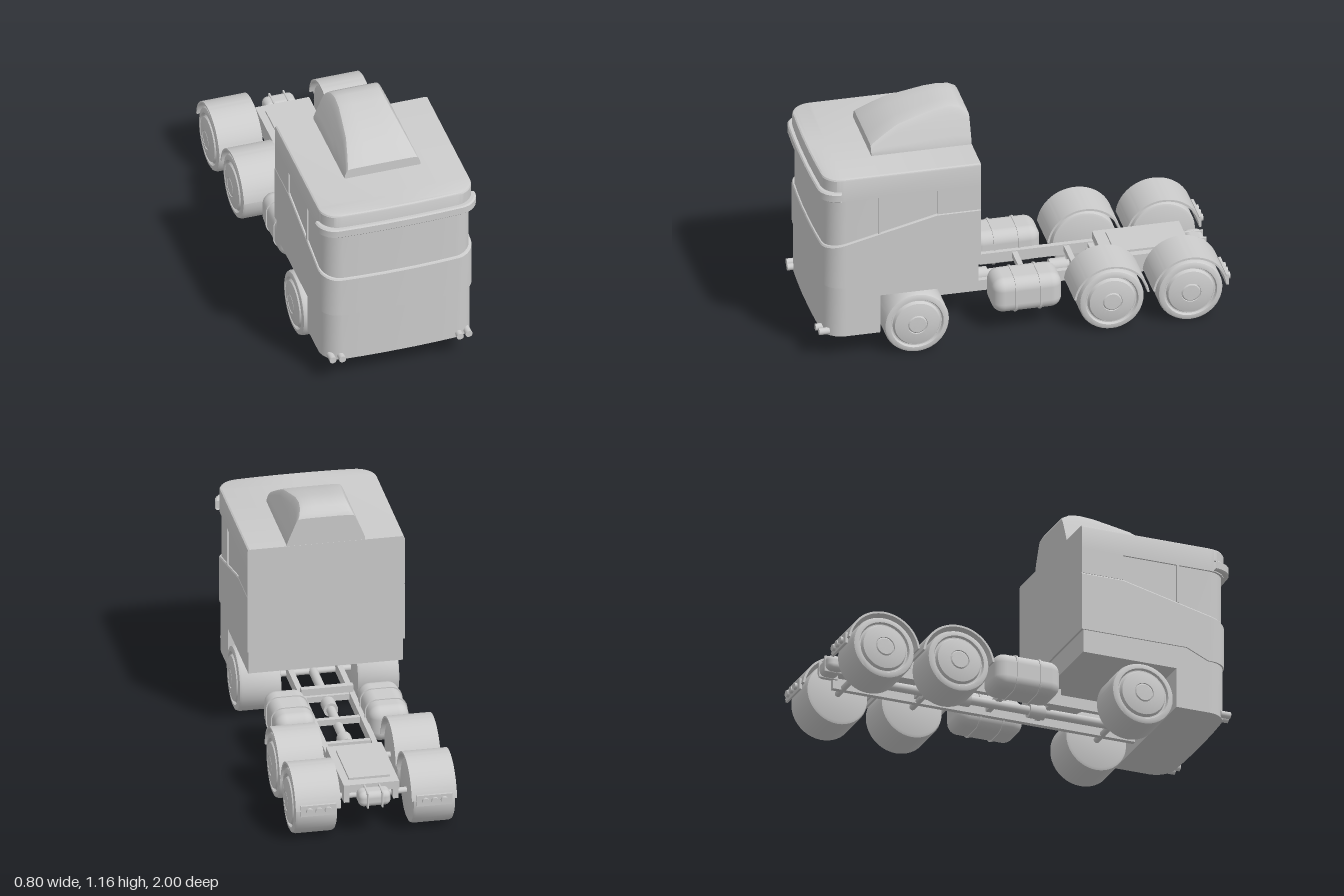
import * as THREE from 'three';
import { toCreasedNormals } from 'three/addons/utils/BufferGeometryUtils.js';
import { RoundedBoxGeometry } from 'three/addons/geometries/RoundedBoxGeometry.js';

const mat = new THREE.MeshStandardMaterial({ color: 0xcccccc });
const { clamp, lerp, mapLinear } = THREE.MathUtils;

function add(parent, name, geo, x = 0, y = 0, z = 0) {
  const m = new THREE.Mesh(geo, mat);
  m.name = name;
  m.position.set(x, y, z);
  parent.add(m);
  return m;
}
const box = (w, h, d) => new THREE.BoxGeometry(w, h, d);
const rodX = (r, len, n = 20) => new THREE.CylinderGeometry(r, r, len, n).rotateZ(Math.PI / 2);
const rodZ = (r, len, n = 20) => new THREE.CylinderGeometry(r, r, len, n).rotateX(Math.PI / 2);

// Skin a row of closed rings, keeping hard edges sharp
function loft(rings) {
  const n = rings[0].length, index = [];
  for (let j = 0; j < rings.length - 1; j++) {
    for (let i = 0; i < n; i++) {
      const a = j * n + i, b = j * n + (i + 1) % n;
      index.push(a, a + n, b, b, a + n, b + n);
    }
  }
  const geo = new THREE.BufferGeometry();
  geo.setAttribute('position', new THREE.Float32BufferAttribute(rings.flat(2), 3));
  geo.setIndex(index);
  return toCreasedNormals(geo, 0.5);
}

// Cab plan: square at the back, rounded corners and a slight bow at the front.
// stops are [z, inset] points along each side.
function plan(hw, zf, zb, stops, r = 0.09) {
  const half = [[hw, zb], ...stops.map(([z, d]) => [hw - d, z])];
  const w = hw - (stops.length ? stops[stops.length - 1][1] : 0);
  for (let i = 0; i <= 8; i++) {
    const a = (i / 8) * Math.PI / 2;
    half.push([w - r + r * Math.cos(a), zf - r + r * Math.sin(a)]);
  }
  half.push([w * 0.5, zf], [w * 0.2, zf]);
  for (const p of half) if (p[1] >= zf - r - 1e-6) p[1] -= 0.015 * (p[0] / w) ** 2;
  return [...half, ...half.map(([x, z]) => [-x, z]).reverse()];
}

// One storey of the cab; rows are [inset, height as a function of z]
function band(hw, zf, zb, stops, rows) {
  const ring = ([inset, y], k = 1) =>
    plan(hw - inset, zf - inset, zb, stops).map(([x, z]) => [x * k, y(z), z]);
  return loft([ring(rows[0], 0), ...rows.map(r => ring(r)), ring(rows[rows.length - 1], 0)]);
}

function buildCab() {
  const cab = new THREE.Group();
  cab.name = 'cab';
  const flat = y => () => y;
  const belt = z => mapLinear(clamp(z, 0.75, 0.86), 0.75, 0.86, 0.44, 0.39);
  const sill = z => 0.6 + (0.975 - Math.max(z, 0.425)) * 0.24;
  const floor = z => (z > 0.7 ? 0.125 : 0.325);

  add(cab, 'lowerCab', band(0.371, 0.975, 0.225,
    [[0.6999, 0], [0.7001, 0], [0.75, 0], [0.86, 0]], [[0, floor], [0, belt]]));
  add(cab, 'middleCab', band(0.378, 0.98, 0.215,
    [[0.425, 0], [0.75, 0], [0.86, 0]], [[0, belt], [0, z => sill(z) - 0.006], [0.004, sill]]));
  // Recessed glazing with a pillar between door window and wraparound windshield
  const g = 0.009;
  add(cab, 'windowBand', band(0.377, 0.97, 0.215,
    [[0.425, 0], [0.425, g], [0.7, g], [0.7, 0], [0.711, 0], [0.711, g]], [[0, sill], [0, flat(0.862)]]));
  add(cab, 'roof', band(0.377, 0.978, 0.215, [],
    [[0, flat(0.858)], [0, flat(0.967)], [0.003, flat(0.974)], [0.01, flat(0.978)]]));
  add(cab, 'sunVisor', band(0.394, 0.998, 0.9, [],
    [[0.006, flat(0.863)], [0, flat(0.869)], [0, flat(0.904)], [0.006, flat(0.91)]]));

  // Roof fairing: the flank slope is shared, the roof line varies along z
  const flank = [[0.97, 0.188], [0.995, 0.186], [1.09, 0.146], [1.15, 0.117], [1.2, 0.09]];
  const width = y => {
    const i = Math.max(1, flank.findIndex(p => p[0] >= y));
    const [a, b] = [flank[i - 1], flank[i]];
    return mapLinear(y, a[0], b[0], a[1], b[1]);
  };
  const line = [[0.216, 1.115], [0.225, 1.13], [0.26, 1.152], [0.31, 1.161], [0.38, 1.155],
    [0.47, 1.133], [0.56, 1.11], [0.63, 1.073], [0.685, 1.04], [0.7, 1.028]];
  const rings = line.map(([z, h]) => {
    const e = h - 0.014, w = width(e), right = [];
    for (let i = 0; i <= 6; i++) {
      const y = lerp(0.97, e, i / 6);
      right.push([width(y), y, z]);
    }
    right.push([w - 0.007, h - 0.005, z], [w - 0.024, h - 0.001, z], [w * 0.4, h, z]);
    return [...right.map(([x, y]) => [-x, y, z]), ...right.reverse()];
  });
  const cap = ring => ring.map(p => [0, 1, p[2]]);
  add(cab, 'roofFairing', loft([cap(rings[0]), ...rings, cap(rings[rings.length - 1])]));

  for (const x of [-0.335, -0.29, 0.29, 0.335]) {
    add(cab, 'bumperLight', rodZ(0.017, 0.05), x, 0.146, Math.abs(x) > 0.3 ? 0.963 : 0.97);
  }
  return cab;
}

// Wheel turned around x, outer face towards +x
const wheelProfile = [[0, -0.205], [0.14, -0.205], [0.152, -0.2], [0.157, -0.188], [0.157, -0.017],
  [0.152, -0.005], [0.142, 0], [0.128, 0], [0.122, -0.012], [0.116, -0.012], [0.108, 0.003],
  [0.08, 0.01], [0.048, 0.013], [0.046, 0.008], [0.04, 0.013], [0, 0.014]];
function wheelGeometry() {
  const pts = wheelProfile.map(([r, h]) => new THREE.Vector2(r, h));
  return toCreasedNormals(new THREE.LatheGeometry(pts, 40).rotateZ(-Math.PI / 2), 0.5);
}

// Curved mudguard strip over a rear wheel
function fenderGeometry(width) {
  const s = new THREE.Shape();
  const a0 = THREE.MathUtils.degToRad(8), a1 = THREE.MathUtils.degToRad(172);
  s.absarc(0, 0, 0.183, a0, a1, false);
  s.absarc(0, 0, 0.173, a1, a0, true);
  const geo = new THREE.ExtrudeGeometry(s, { depth: width, bevelEnabled: false, curveSegments: 28 });
  return toCreasedNormals(geo.translate(0, 0, -width / 2).rotateY(Math.PI / 2), 0.5);
}

// Everything that exists on both sides, built for +x
function buildSide(side) {
  const g = new THREE.Group();
  g.name = side > 0 ? 'leftRunningGear' : 'rightRunningGear';
  const wheel = wheelGeometry(), fender = fenderGeometry(0.217);
  // side symmetric parts are placed by sign, wheels are turned to face outwards
  for (const z of [0.525, -0.415, -0.795]) {
    const w = add(g, z > 0 ? 'frontWheel' : 'rearWheel', wheel, side * 0.385, 0.157, z);
    if (side < 0) w.rotation.y = Math.PI;
    if (z < 0) add(g, 'rearFender', fender, side * 0.278, 0.157, z);
  }

  // Tail lamp panel on the last fender
  add(g, 'tailLampPanel', box(0.17, 0.055, 0.012), side * 0.278, 0.185, -0.978);
  for (const d of [-0.045, 0, 0.045]) {
    add(g, 'tailLamp', rodZ(0.017, 0.02), side * (0.278 + d), 0.185, -0.988);
  }

  // Fuel tank with two straps
  add(g, 'fuelTank', new RoundedBoxGeometry(0.194, 0.178, 0.335, 5, 0.055), side * 0.225, 0.195, -0.028);
  for (const z of [0.03, -0.088]) {
    add(g, 'tankStrap', new RoundedBoxGeometry(0.206, 0.19, 0.01, 4, 0.0049), side * 0.225, 0.195, z)
      .geometry = strapGeometry();
  }

  add(g, 'frameRail', box(0.026, 0.055, 1.54), side * 0.118, 0.173, -0.08);
  return g;
}

function strapGeometry() {
  const w = 0.102, h = 0.094, r = 0.058, s = new THREE.Shape();
  s.absarc(w - r, h - r, r, 0, Math.PI / 2);
  s.absarc(r - w, h - r, r, Math.PI / 2, Math.PI);
  s.absarc(r - w, r - h, r, Math.PI, Math.PI * 1.5);
  s.absarc(w - r, r - h, r, Math.PI * 1.5, Math.PI * 2);
  return new THREE.ExtrudeGeometry(s, { depth: 0.01, bevelEnabled: false, curveSegments: 6 }).translate(0, 0, -0.005);
}

function buildChassis() {
  const g = new THREE.Group();
  g.name = 'chassis';
  for (const z of [0.19, -0.06, -0.31, -0.425]) add(g, 'crossMember', box(0.25, 0.03, 0.026), 0, 0.18, z);
  add(g, 'cabMount', box(0.25, 0.035, 0.03), 0, 0.217, 0.2);
  for (const z of [0.525, -0.415, -0.795]) add(g, 'axle', rodX(0.015, 0.4), 0, 0.157, z);

  // Drive shaft with thicker couplings
  add(g, 'driveShaft', rodZ(0.022, 1.3), 0, 0.157, -0.1);
  for (const z of [0.14, -0.24, -0.4]) add(g, 'shaftCoupling', rodZ(0.035, 0.08), 0, 0.157, z);

  // Rear deck with raised plate
  add(g, 'rearDeck', box(0.266, 0.04, 0.42), 0, 0.22, -0.65);
  add(g, 'couplingPlate', box(0.196, 0.012, 0.31), 0, 0.245, -0.652);

  // Ribbed air tank at the tail
  add(g, 'airTank', new RoundedBoxGeometry(0.155, 0.075, 0.09, 4, 0.028), 0, 0.195, -0.905);
  for (const x of [-0.035, 0.035]) {
    add(g, 'airTankStrap', new RoundedBoxGeometry(0.01, 0.083, 0.098, 2, 0.0045), x, 0.195, -0.905);
  }
  return g;
}

export function createModel() {
  const model = new THREE.Group();
  model.name = 'truck';
  model.add(buildCab(), buildChassis(), buildSide(1), buildSide(-1));
  return model;
}
